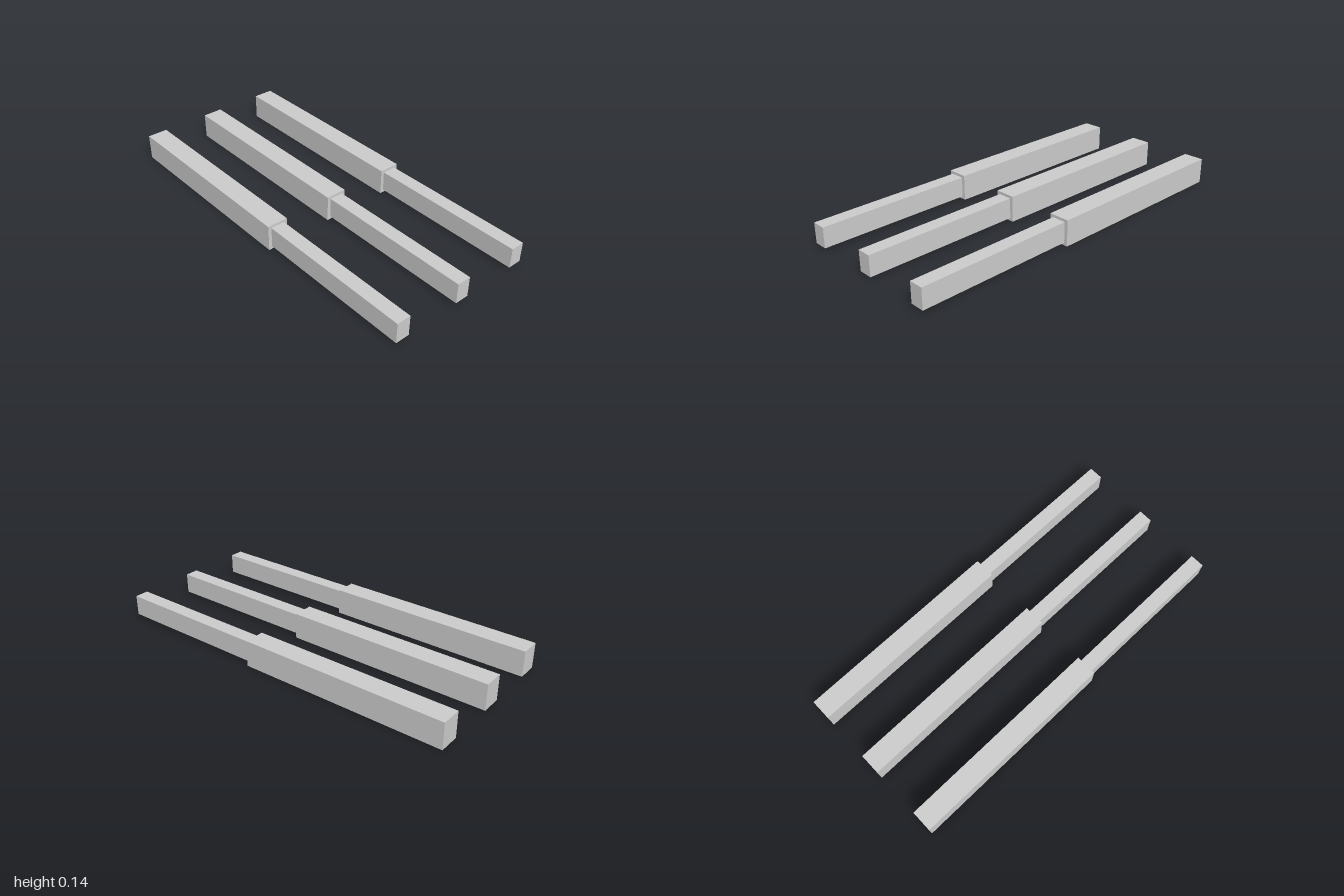
import * as THREE from 'three';

const SPACING = 0.382;
const JOINT_Z = 0.135; // where the rod leaves the sleeve
const MID_Y = 0.071;

export function createModel() {
  const model = new THREE.Group();
  model.name = 'telescopicBars';
  const material = new THREE.MeshStandardMaterial({ color: 0xcccccc, flatShading: true });

  // Box centred on the bar axis, running from z0 to z1
  const bar = (name, width, height, z0, z1) => {
    const mesh = new THREE.Mesh(new THREE.BoxGeometry(width, height, z1 - z0), material);
    mesh.name = name;
    mesh.position.set(0, MID_Y, (z0 + z1) / 2);
    return mesh;
  };

  // Three identical bars: thick sleeve at the back, thin rod at the front
  ['right', 'middle', 'left'].forEach((side, i) => {
    const group = new THREE.Group();
    group.name = `${side}Bar`;
    group.position.x = (i - 1) * SPACING;
    group.add(
      bar('sleeve', 0.114, 0.142, -1, JOINT_Z),
      bar('rod', 0.077, 0.112, JOINT_Z - 0.01, 1),
    );
    model.add(group);
  });

  return model;
}
